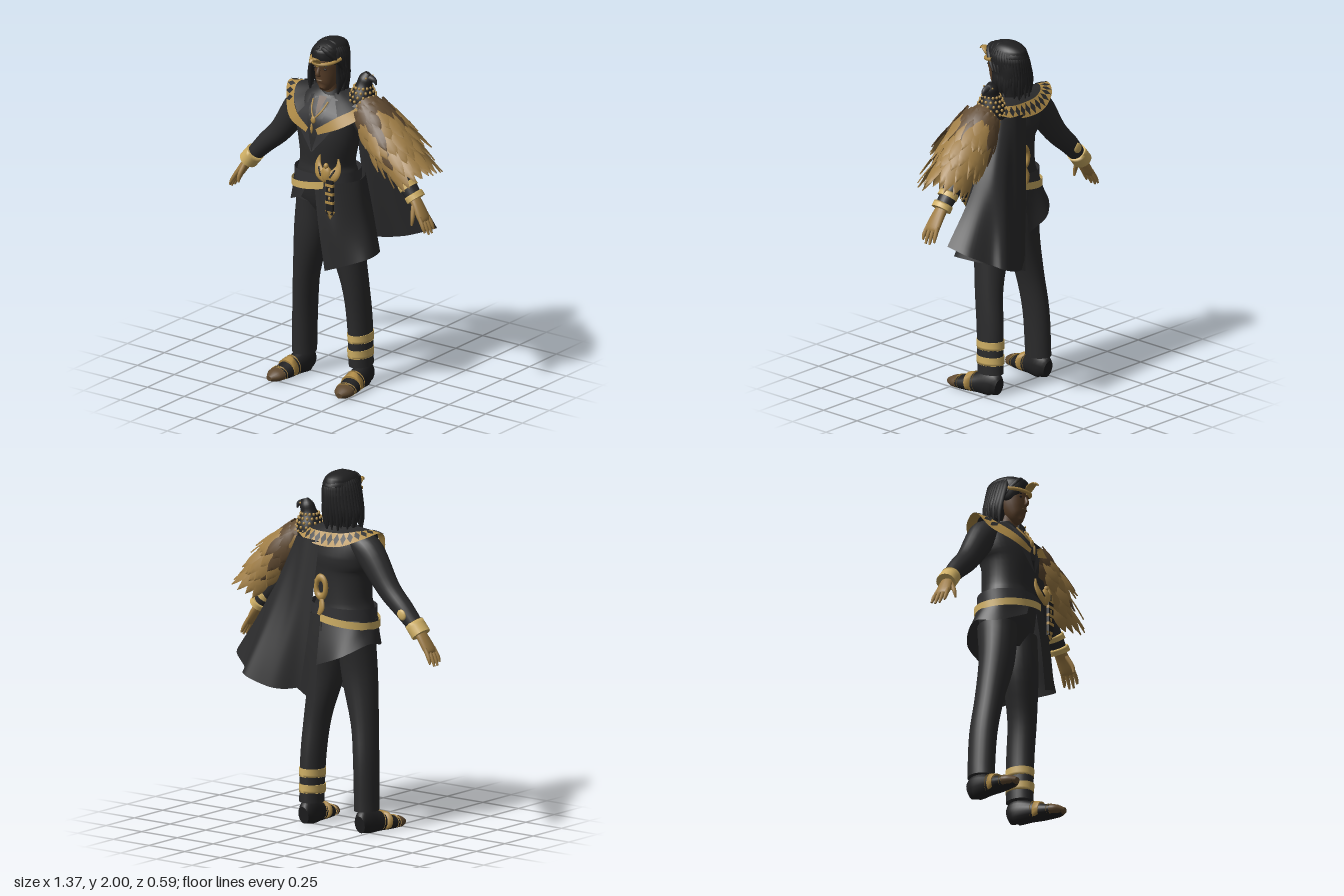
import * as THREE from 'three';

const V = (x, y, z) => new THREE.Vector3(x, y, z);
const Z = V(0, 0, 1), Y = V(0, 1, 0);

export function createModel() {
  const model = new THREE.Group();
  const mat = (name, color) => {
    const m = new THREE.MeshStandardMaterial({ color, side: THREE.DoubleSide });
    m.name = name;
    return m;
  };
  const black = mat('black cloth', 0x2b2b2c), dark = mat('dark hair', 0x202021);
  const lapelBlack = mat('lapel black', 0x323234), skin = mat('skin', 0x5a402a);
  const gold = mat('gold', 0xb08c48), pale = mat('pale gold', 0xd0b065);
  const tan = mat('tan feather', 0x9f7d45), brown = mat('brown feather', 0x604a31);

  const add = (name, geo, m, parent = model) => {
    const mesh = new THREE.Mesh(geo, m);
    mesh.name = name;
    parent.add(mesh);
    return mesh;
  };
  const group = name => {
    const g = new THREE.Group();
    g.name = name;
    model.add(g);
    return g;
  };
  const build = (pos, idx) => {
    const g = new THREE.BufferGeometry();
    g.setAttribute('position', new THREE.Float32BufferAttribute(pos, 3));
    g.setIndex(idx);
    g.computeVertexNormals();
    return g;
  };
  // Rounded solid through sections [x, y, z, radius along ref, radius across], with flat end caps
  const limb = (secs, n = 20, ref = Z, sub = 4, minY = -1) => {
    const path = new THREE.CatmullRomCurve3(secs.map(s => V(s[0], s[1], s[2])), false, 'catmullrom');
    const rad = new THREE.CatmullRomCurve3(secs.map(s => V(s[3], s[4], 0)), false, 'catmullrom');
    const rings = (secs.length - 1) * sub, pos = [], idx = [];
    const put = p => pos.push(p.x, Math.max(p.y, minY), p.z);
    const putRing = i => {
      const c = path.getPoint(i / rings), r = rad.getPoint(i / rings), t = path.getTangent(i / rings);
      const u = ref.clone().addScaledVector(t, -ref.dot(t)).normalize(), v = t.clone().cross(u);
      for (let j = 0; j < n; j++) {
        const a = j / n * Math.PI * 2;
        put(c.clone().addScaledVector(u, Math.max(r.x, .001) * Math.cos(a)).addScaledVector(v, Math.max(r.y, .001) * Math.sin(a)));
      }
    };
    for (let i = 0; i <= rings; i++) {
      putRing(i);
      for (let j = 0; j < n && i < rings; j++) {
        const k = i * n + j, b = i * n + (j + 1) % n;
        idx.push(k, b, k + n, b, b + n, k + n);
      }
    }
    for (const e of [0, 1]) {
      const k = pos.length / 3;
      putRing(e * rings);
      put(path.getPoint(e));
      for (let j = 0; j < n; j++) {
        const q = k + (j + 1) % n;
        idx.push(k + n, e ? k + j : q, e ? q : k + j);
      }
    }
    return build(pos, idx);
  };
  // Open surface through rows of points
  const sheet = (rows, nu = 24, nv = 8, fold = () => 0) => {
    const cs = rows.map(r => new THREE.CatmullRomCurve3(r.map(p => V(...p))));
    const pos = [], idx = [];
    for (let i = 0; i <= nu; i++) {
      const c = new THREE.CatmullRomCurve3(cs.map(q => q.getPoint(i / nu)));
      for (let j = 0; j <= nv; j++) {
        const p = c.getPoint(j / nv), k = i * (nv + 1) + j;
        pos.push(p.x, p.y, p.z + fold(i / nu, j / nv));
        if (i < nu && j < nv) idx.push(k, k + 1, k + nv + 1, k + 1, k + nv + 2, k + nv + 1);
      }
    }
    return build(pos, idx);
  };
  const ball = (name, x, y, z, a, b, c, m, parent) => {
    const o = add(name, new THREE.SphereGeometry(1, 12, 8), m, parent);
    o.position.set(x, y, z);
    o.scale.set(a, b, c);
    return o;
  };

  // Jacket body
  const torso = [[-.02, .98, .05, .08, .13], [-.02, 1.08, .055, .125, .19], [-.02, 1.22, .07, .145, .18],
    [-.02, 1.3, .07, .14, .16], [-.01, 1.45, .075, .148, .185], [-.02, 1.55, .06, .145, .205],
    [-.02, 1.63, .045, .11, .18], [-.01, 1.7, .04, .06, .075]];
  add('jacket', limb(torso, 36), black);
  const chest = (x, y, off = .012) => {
    const i = Math.max(0, Math.min(torso.length - 2, torso.findIndex(s => s[1] > y) - 1));
    const k = (y - torso[i][1]) / (torso[i + 1][1] - torso[i][1]);
    const [cx, , cz, rz, rx] = torso[i].map((a, q) => a + (torso[i + 1][q] - a) * k);
    return [x, y, cz + rz * Math.sqrt(Math.max(0, 1 - ((x - cx) / rx) ** 2)) + off];
  };
  const chestPatch = (name, left, right, off, m) => add(name, sheet([left, right].map(r => r.map(p => chest(p[0], p[1], off))), 12, 4), m);
  chestPatch('shirt', [[-.06, 1.67], [-.055, 1.58], [-.012, 1.4]], [[.05, 1.67], [.045, 1.58], [-.008, 1.4]], .014, dark);
  chestPatch('openChest', [[-.03, 1.68], [-.022, 1.64], [-.009, 1.585]], [[.02, 1.68], [.012, 1.64], [-.005, 1.585]], .02, skin);
  for (const s of [-1, 1]) {
    const L = (x, y) => [-.01 + s * x, y];
    chestPatch('lapel', [L(.06, 1.68), L(.05, 1.58), L(0, 1.385)], [L(.09, 1.67), L(.125, 1.56), L(.005, 1.385)], .022, lapelBlack);
    const chain = new THREE.CatmullRomCurve3([[.05, 1.66], [.032, 1.61], [0, 1.57]].map(p => V(...chest(...L(...p), .026))));
    add('necklace', new THREE.TubeGeometry(chain, 12, .005, 6), gold);
  }
  ball('pendant', -.01, 1.565, chest(0, 1.565)[2] + .015, .016, .022, .008, gold);
  ball('pendantDrop', -.01, 1.52, chest(0, 1.52)[2] + .015, .008, .03, .006, gold);

  // Gold collar with dark diamonds, and the shoulder cloth inside it
  const outer = [[-.05, 1.49, .235], [-.18, 1.53, .2], [-.265, 1.59, .12], [-.305, 1.685, .04], [-.25, 1.66, -.05], [-.13, 1.61, -.105],
    [0, 1.6, -.115], [.12, 1.62, -.105], [.22, 1.65, -.04], [.25, 1.61, .1], [.17, 1.55, .2], [.03, 1.49, .235]];
  const inner = [[-.035, 1.52, .235], [-.13, 1.575, .205], [-.2, 1.63, .14], [-.235, 1.69, .05], [-.19, 1.69, -.02], [-.11, 1.675, -.06],
    [0, 1.67, -.07], [.1, 1.675, -.065], [.17, 1.68, 0], [.19, 1.64, .11], [.13, 1.6, .19], [.015, 1.52, .235]];
  add('collar', sheet([outer, inner], 72, 3), gold);
  const yoke = inner.slice(1, 11);
  add('shoulderCloth', sheet([yoke, yoke.map(([x, , z]) => {
    const a = Math.atan2(z - .045, x + .01);
    return [-.01 + .06 * Math.cos(a), 1.705, .045 + .055 * Math.sin(a)];
  })], 48, 4), black);
  const co = new THREE.CatmullRomCurve3(outer.map(p => V(...p))), ci = new THREE.CatmullRomCurve3(inner.map(p => V(...p)));
  const diamonds = group('collarDiamonds');
  for (let i = 0; i < 20; i++) {
    const at = (t, k) => co.getPoint(t).lerp(ci.getPoint(t), k);
    const t = .19 + i * .032, c = [at(t, .06), at(t + .0135, .5), at(t, .94), at(t - .0135, .5)];
    const n = c[1].clone().sub(c[3]).cross(c[2].clone().sub(c[0])).normalize();
    if (n.y < 0) n.negate();
    add('diamond', build(c.flatMap(p => p.addScaledVector(n, .005).toArray()), [0, 1, 2, 0, 2, 3]), black, diamonds);
  }
  add('standingCollar', limb([[-.01, 1.66, .045, .075, .085], [-.01, 1.715, .04, .062, .07]], 24), black);

  // Belt, sash and coat skirts
  const ring = (y0, y1, rx, rz, tilt, from, to) => sheet([y0, y1].map(y => Array.from({ length: 25 }, (_, i) => {
    const a = from + i / 24 * (to - from);
    return [-.018 + rx * Math.sin(a), y + tilt * Math.sin(a), .07 + rz * Math.cos(a)];
  })), 48, 2);
  add('sash', ring(1.19, 1.255, .196, .16, .01, 0, Math.PI * 2), lapelBlack);
  add('belt', ring(1.166, 1.208, .214, .174, .035, -3.3, .4), pale);
  add('shortTail', sheet([[[-.04, 1.2, .225], [-.2, 1.18, .14], [-.2, 1.18, 0], [.02, 1.2, -.09]],
    [[-.08, 1.11, .235], [-.23, 1.04, .13], [-.25, 1.06, 0], [-.14, .99, -.12], [.02, .93, -.13]]], 30, 5), black);
  add('longSkirt', sheet([[[0, 1.22, .228], [.1, 1.215, .218], [.19, 1.21, .07], [.13, 1.21, -.07], [0, 1.2, -.095]],
    [[.04, .98, .245], [.15, .98, .235], [.24, 1, .1], [.18, 1, -.07], [.02, .98, -.11]],
    [[.085, .71, .245], [.2, .755, .225], [.315, .8, .15], [.26, .785, -.03], [.04, .71, -.12]]], 36, 10), black);

  // Winged buckle with hanging strap
  const buckle = group('buckle');
  ball('buckleBody', .095, 1.275, .24, .034, .05, .022, gold, buckle);
  ball('buckleHead', .095, 1.325, .245, .014, .018, .014, gold, buckle);
  for (const s of [-1, 1]) {
    const B = (x, y, z, a, b) => [.095 + s * x, y, z, a, b];
    add('buckleWing', limb([B(0, 1.25, .245, .01, .03), B(.045, 1.275, .24, .01, .034), B(.068, 1.32, .225, .008, .02),
      B(.062, 1.37, .215, .005, .004)], 10), gold, buckle);
    add('buckleGem', limb([B(.03, 1.265, .256, .003, .006), B(.055, 1.31, .24, .003, .005)], 6), dark, buckle);
  }
  add('strap', new THREE.BoxGeometry(.045, .2, .014), dark, buckle).position.set(.125, 1.15, .25);
  for (const y of [1.22, 1.17, 1.12]) add('strapBand', new THREE.BoxGeometry(.05, .016, .018), gold, buckle).position.set(.125, y, .251);
  for (const y of [1.195, 1.145]) ball('strapStud', .125, y, .257, .008, .012, .004, gold, buckle);
  const tip = add('strapTip', new THREE.ConeGeometry(.036, .05, 4), gold, buckle);
  tip.position.set(.125, 1.045, .25);
  tip.rotation.x = Math.PI;
  tip.scale.z = .4;
  // Back clasp
  const clasp = add('backClasp', new THREE.TorusGeometry(.034, .014, 8, 20), gold);
  clasp.position.set(.02, 1.36, -.088);
  clasp.scale.y = 1.6;
  add('claspTail', limb([[.015, 1.3, -.09, .009, .014], [.005, 1.25, -.1, .01, .02], [.02, 1.21, -.108, .006, .012]], 8), gold);

  // Legs and shoes
  for (const s of [-1, 1]) {
    const X = s < 0 ? [-.112, -.13, -.178, -.205, -.215] : [.085, .105, .15, .165, .17];
    const side = s < 0 ? 'right' : 'left';
    add(side + 'Trouser', limb([[X[0], 1.06, .06, .115, .1], [X[1], .85, .068, .1, .1], [X[2], .6, .05, .085, .072],
      [X[3], .38, .028, .083, .064], [X[4], .12, .02, .08, .062]], 24), black);
    if (s > 0) for (const y of [.173, .262]) add('legBand', limb([[.168, y, .022, .084, .066], [.167, y + .048, .024, .085, .067]], 24), pale);
    const F = (z, y, h, w) => [X[4] + s * (.005 + Math.max(0, z) * .14), y, z, h, w];
    add(side + 'Shoe', limb([F(-.048, .05, .05, .035), F(0, .06, .08, .05), F(.08, .05, .062, .054), F(.16, .035, .045, .058),
      F(.24, .025, .03, .05), F(.275, .02, .02, .03)], 18, Y, 4, 0), dark);
    add(side + 'ShoeStrap', limb([F(.1, .05, .062, .059), F(.152, .042, .053, .062)], 18, Y, 2, .004), gold);
    add(side + 'ToeCap', limb([F(.215, .03, .036, .058), F(.25, .025, .032, .05), F(.29, .02, .015, .018)], 18, Y, 4, .002), brown);
    add(side + 'ToeStrap', limb([F(.2, .032, .04, .06), F(.216, .03, .038, .06)], 18, Y, 1, .003), gold);
  }

  // Arms, cuffs and hands
  for (const s of [-1, 1]) {
    const side = s < 0 ? 'right' : 'left', k = s < 0 ? 1 : .96;
    const P = (x, y, z, a, b) => [s * x * k, y, z, a, b];
    add(side + 'Sleeve', limb([P(.15, 1.62, .04, .08, .07), P(.23, 1.56, .035, .08, .085), P(.36, 1.385, .03, .062, .066),
      P(.47, 1.28, .03, .055, .055), P(.565, 1.18, .035, .045, .042)], 22), black);
    const cuffs = s < 0 ? [[.535, 1.215, .585, 1.155]] : [[.505, 1.25, .527, 1.224], [.555, 1.195, .577, 1.169]];
    for (const [x, y, x2, y2] of cuffs) add(side + 'Cuff', limb([P(x, y, .035, .057, .053), P(x2, y2, .035, .059, .053)], 20), pale);
    add(side + 'Palm', limb([P(.56, 1.18, .035, .035, .028), P(.595, 1.135, .04, .042, .025), P(.635, 1.075, .045, .048, .02),
      P(.645, 1.055, .045, .04, .014)], 14), tan);
    for (let i = 0; i < 4; i++) add(side + 'Finger', limb([P(.632, 1.085, .01 + i * .023, .011, .013), P(.662, 1.035, .004 + i * .027, .011, .011),
      P(.675 + (i % 3 ? .008 : 0), .99 + (i % 3 ? 0 : .015), i * .028, .006, .006)], 8), tan);
    add(side + 'Thumb', limb([P(.585, 1.14, .07, .014, .014), P(.6, 1.08, .1, .012, .012), P(.6, 1.04, .108, .006, .006)], 8), tan);
  }
  ball('sleeveEmblem', -.49, 1.262, -.019, .028, .033, .012, pale).rotation.z = -.7;

  // Head and face
  const H = -.005;
  add('neck', limb([[H, 1.64, .04, .06, .06], [H, 1.72, .06, .052, .05], [H, 1.8, .075, .055, .05]], 18), skin);
  add('head', limb([[H, 1.722, .142, .02, .018], [H, 1.745, .122, .048, .045], [H, 1.79, .1, .077, .063], [H, 1.84, .085, .095, .072],
    [H, 1.9, .08, .1, .074], [H, 1.96, .07, .075, .06], [H, 1.98, .065, .02, .02]], 26), skin);
  add('nose', limb([[H, 1.86, .172, .008, .008], [H, 1.825, .184, .013, .012], [H, 1.81, .178, .008, .014]], 10), skin);
  ball('mouth', H, 1.782, .17, .022, .005, .008, brown);
  for (const s of [-1, 1]) {
    ball('eye', H + s * .032, 1.852, .165, .013, .006, .006, dark);
    ball('eyebrow', H + s * .033, 1.871, .167, .018, .004, .006, dark);
  }
  // Hair cap and hanging locks
  add('hair', limb([[-.02, 1.7, 0, .05, .085], [-.02, 1.78, .01, .068, .095], [-.015, 1.86, .02, .085, .095], [-.01, 1.905, .055, .125, .092],
    [-.01, 1.955, .055, .118, .08], [-.01, 1.985, .055, .075, .055], [-.01, 2, .055, .01, .01]], 26), dark);
  const locks = group('hairLocks');
  for (let i = 0; i < 26; i++) {
    const a = -.4 + i / 25 * (Math.PI + .8), c = Math.cos(a), q = -Math.sin(a), w = (i * 7) % 5 * .6;
    const h = c < 0 ? .02 : -.008;
    add('lock', limb([[-.01 + c * .03, 1.985, .06 + q * .04, .012, .012], [-.01 + c * .08, 1.93, .06 + q * .1, .018, .018],
      [-.015 + c * (.09 + h), 1.83, .05 + q * .105, .018, .016], [-.02 + c * (.1 + h), 1.75 + w * .012, .045 + q * .1, .015, .015],
      [-.02 + c * (.09 + h * 1.4), 1.67 + w * .022, .045 + q * .1, .003, .003]], 6, Z, 3), dark, locks);
  }
  for (const s of [-1, 1]) for (let i = 0; i < 3; i++) add('sweptLock', limb([[H + s * .005, 1.965 + i * .01, .155 - i * .035, .012, .014],
    [H + s * .045, 1.945 + i * .012, .155 - i * .035, .014, .016], [H + s * .078, 1.895, .115 - i * .03, .012, .012],
    [H + s * .09, 1.84, .08 - i * .02, .006, .006]], 6, Z, 3), dark, locks);
  // Circlet
  const circlet = [-1.5, -1, -.5, 0, .5, 1, 1.5].map(a => V(H + .088 * Math.sin(a), 1.905 - .022 * Math.cos(a), .083 + .108 * Math.cos(a)));
  add('circlet', new THREE.TubeGeometry(new THREE.CatmullRomCurve3(circlet), 28, .011, 6), gold);
  add('circletCrest', limb([[H, 1.868, .188, .006, .01], [H, 1.905, .2, .008, .032], [H, 1.925, .235, .008, .02], [H, 1.91, .26, .004, .004]], 10), gold);

  // Cape behind the left shoulder
  add('cape', sheet([[[.02, 1.62, -.105], [.12, 1.63, -.115], [.2, 1.62, -.08], [.23, 1.56, -.02]],
    [[.05, 1.25, -.135], [.18, 1.23, -.17], [.32, 1.23, -.17], [.41, 1.25, -.06]],
    [[.1, .8, -.17], [.17, .79, -.22], [.25, .8, -.26], [.34, .83, -.293], [.41, .86, -.283], [.44, .88, -.24], [.55, .94, -.16], [.59, .98, -.05]]],
  40, 16, (u, v) => .005 * v * Math.sin(u * 20)), black);

  // Feathered wing mantle, laid in overlapping rows along the left arm
  let seed = 7;
  const rnd = () => (seed = seed * 16807 % 2147483647) / 2147483647;
  const A = V(.2, 1.66, .025), axis = V(.67, -.742, 0), up = V(.742, .67, 0);
  const wing = group('featherMantle');
  add('mantleBase', limb([[.17, 1.67, .02, .06, .06], [.24, 1.6, .02, .1, .095], [.35, 1.49, .02, .11, .085], [.45, 1.38, .02, .08, .055]], 18), brown, wing);
  for (let row = 0; row < 6; row++) for (let i = 0; i < 13; i++) {
    const f = (i + (row % 2) * .5) / 12.5 * 2 - 1, ang = f * 2.35, s = .01 + row * .061 + rnd() * .025;
    const r = .85 + .24 * Math.sin(row / 5 * Math.PI);
    const out = up.clone().multiplyScalar(Math.cos(ang)).addScaledVector(Z, Math.sin(ang));
    const base = A.clone().addScaledVector(axis, s).addScaledVector(up, Math.cos(ang) * .095 * r).addScaledVector(Z, Math.sin(ang) * .125 * r);
    const dir = axis.clone().addScaledVector(out, .16 + rnd() * .2).addScaledVector(Z, (.16 - row * .03) * Math.sin(ang)).normalize();
    const across = dir.clone().cross(out).normalize(), len = (.15 + row * .012) * (.8 + rnd() * .35) * (Math.abs(f) > .8 ? .85 : 1);
    const edge = k => [[0, .012], [.35, .031], [.7, .025], [1, .001]].map(([t, w]) => base.clone().addScaledVector(dir, len * t)
      .addScaledVector(across, k * w).addScaledVector(out, (k ? 0 : .007) - .02 * t * t).toArray());
    const dusky = rnd() < [.75, .55, .35, .12, .04, .04][row];
    add('feather', sheet([edge(-1), edge(0), edge(1)], 6, 2), dusky ? brown : tan, wing);
  }

  // Perched bird head on the shoulder
  const bird = group('birdHead');
  add('birdNeck', limb([[.17, 1.62, .01, .085, .08], [.175, 1.69, .01, .075, .07], [.18, 1.75, .005, .045, .045], [.19, 1.79, 0, .036, .04],
    [.2, 1.82, 0, .012, .018]], 18), dark, bird);
  add('birdBeak', limb([[.215, 1.795, 0, .02, .02], [.245, 1.785, 0, .013, .014], [.256, 1.76, 0, .003, .004]], 10), lapelBlack, bird);
  for (let row = 0; row < 5; row++) for (let i = 0; i < 14; i++) {
    const a = (i + row * .5) / 14 * Math.PI * 2, r = [.083, .08, .074, .064, .052][row];
    ball('goldFleck', .175 + Math.cos(a) * r * .93, 1.648 + row * .023, .01 + Math.sin(a) * r, .008, .009, .008, gold, bird);
  }
  for (const s of [-1, 1]) ball('birdEye', .21, 1.798, s * .032, .006, .006, .004, gold, bird);
  return model;
}
